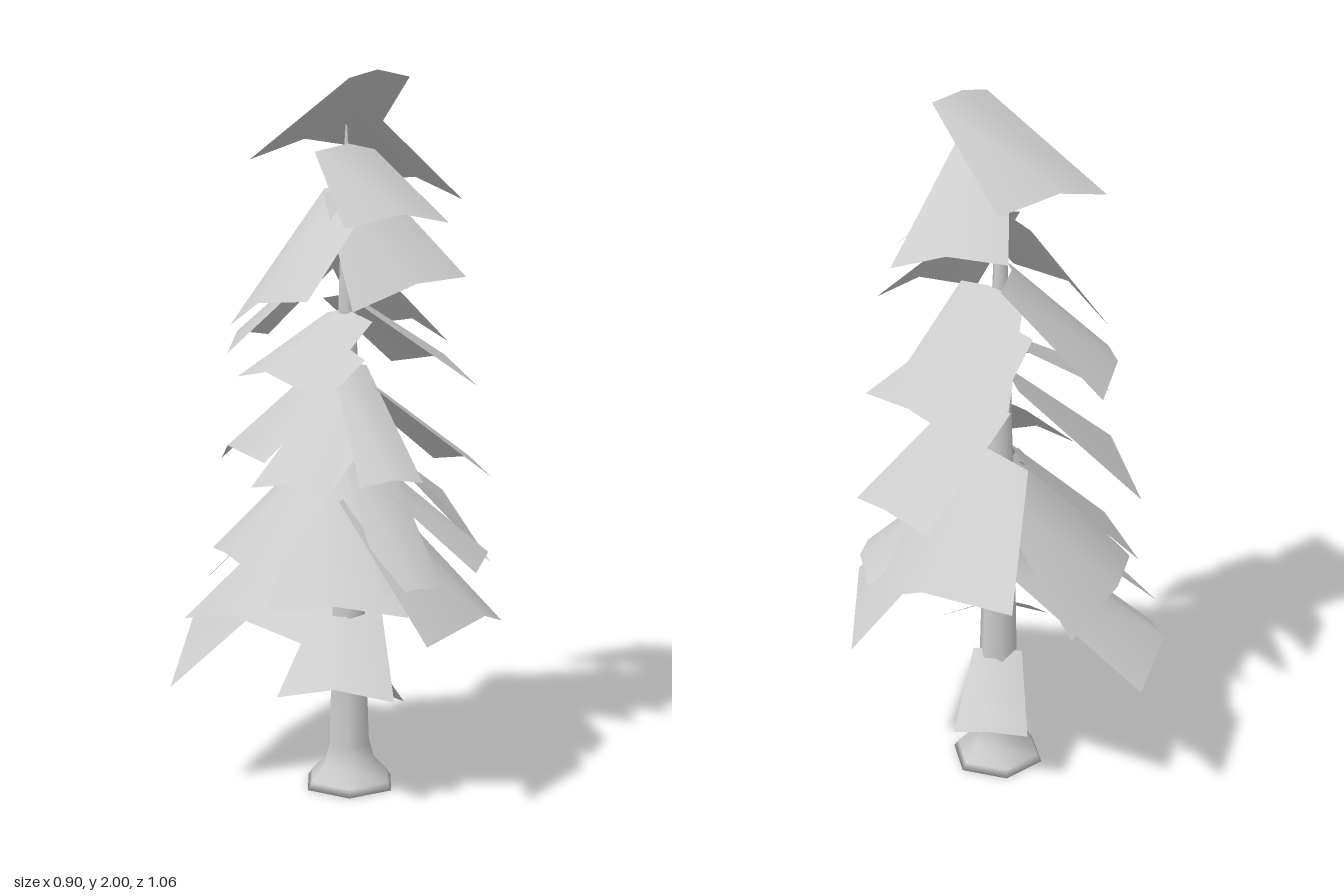
import * as THREE from 'three';

const mat = new THREE.MeshStandardMaterial({ color: 0xcccccc, side: THREE.DoubleSide });
const AXIS_X = 0.04;
const axisZ = (y) => 0.025 - 0.012 * y; // the trunk leans back slightly

// One drooping bough: a trapezoid with a raised centre ridge.
// azimuth is in degrees from +x towards +z; tilt lifts one outer corner;
// the shifts slide the inner and outer edges sideways.
function bough(azimuth, yIn, yOut, rIn, rOut, wIn, wOut, tilt = 0, shiftIn = 0, shiftOut = 0) {
  const { lerp, degToRad } = THREE.MathUtils;
  const a = degToRad(azimuth);
  const out = new THREE.Vector3(Math.cos(a), 0, Math.sin(a));
  const side = new THREE.Vector3(-Math.sin(a), 0, Math.cos(a));
  const slope = out.clone().multiplyScalar(rOut - rIn).setY(yOut - yIn).normalize();
  const normal = side.clone().cross(slope).normalize();

  const geo = new THREE.PlaneGeometry(1, 1, 2, 1);
  const pos = geo.attributes.position;
  for (let i = 0; i < pos.count; i++) {
    const s = pos.getX(i);           // -0.5 .. 0.5 across
    const t = 0.5 - pos.getY(i);     // 0 at trunk, 1 at tip
    const width = lerp(wIn, wOut, t);
    const bow = (0.5 - Math.abs(s)) * 2 - 0.5;
    const p = new THREE.Vector3(AXIS_X, lerp(yIn, yOut, t), axisZ(yIn))
      .addScaledVector(out, lerp(rIn, rOut, t))
      .addScaledVector(side, s * width + lerp(shiftIn, shiftOut, t))
      .addScaledVector(normal, bow * 0.13 * width);
    p.y += tilt * s * t;
    pos.setXYZ(i, p.x, p.y, p.z);
  }
  // wind the faces so they look upwards
  const idx = geo.index.array;
  for (let i = 0; i < idx.length; i += 3) [idx[i], idx[i + 1]] = [idx[i + 1], idx[i]];
  geo.computeVertexNormals();
  return new THREE.Mesh(geo, mat);
}

function trunk() {
  const profile = [
    [0, 0], [0.135, 0], [0.122, 0.02], [0.08, 0.065], [0.064, 0.12], [0.056, 0.35],
    [0.044, 0.8], [0.028, 1.35], [0.014, 1.7], [0, 1.88],
  ].map(([r, y]) => new THREE.Vector2(r, y));
  const geo = new THREE.LatheGeometry(profile, 6, Math.PI / 6);
  const pos = geo.attributes.position;
  for (let i = 0; i < pos.count; i++) {
    pos.setX(i, pos.getX(i) + AXIS_X);
    pos.setZ(i, pos.getZ(i) + axisZ(pos.getY(i)));
  }
  const mesh = new THREE.Mesh(geo, mat);
  mesh.name = 'trunk';
  return mesh;
}

// azimuth, yIn, yOut, rIn, rOut, wIn, wOut, tilt, shiftIn, shiftOut
const tiers = {
  lowestBoughs: [
    [-42, 0.37, 0.2, 0.02, 0.2, 0.14, 0.21],
    [128, 0.53, 0.34, -0.03, 0.27, 0.17, 0.32],
    [-132, 0.72, 0.42, 0.03, 0.45, 0.28, 0.62, 0.14, 0, 0.035],
  ],
  lowerBoughs: [
    [53, 0.86, 0.52, 0.05, 0.4, 0.25, 0.59, 0.08, 0.03, 0.06],
    [172, 0.83, 0.53, 0.03, 0.38, 0.28, 0.6, -0.05, 0, -0.01],
    [90, 1.0, 0.64, 0.03, 0.36, 0.14, 0.18, 0, -0.02, 0],
    [125, 0.95, 0.6, 0.02, 0.37, 0.2, 0.38],
    [38, 0.95, 0.67, 0.04, 0.38, 0.2, 0.27],
    [-4, 1.0, 0.74, 0.03, 0.4, 0.26, 0.58, -0.18, 0, -0.13],
    [-118, 0.96, 0.63, 0.02, 0.335, 0.25, 0.51, 0, 0, 0.025],
    [188, 1.0, 0.68, 0.02, 0.34, 0.25, 0.45],
  ],
  middleBoughs: [
    [0, 1.15, 0.9, 0.03, 0.35, 0.2, 0.3, 0, 0.03, 0.06],
    [-167, 1.24, 0.96, 0, 0.31, 0.25, 0.47, -0.08, 0, 0.04],
    [150, 1.13, 0.91, 0.02, 0.32, 0.14, 0.24],
    [98, 1.2, 0.93, 0.02, 0.32, 0.1, 0.18],
    [2, 1.38, 1.18, 0, 0.28, 0.25, 0.48, 0, 0, 0.02],
    [176, 1.34, 1.18, 0, 0.25, 0.22, 0.38],
  ],
  upperBoughs: [
    [-8, 1.48, 1.28, 0.02, 0.24, 0.22, 0.38, 0, 0.02, -0.03],
    [-134, 1.52, 1.26, 0.02, 0.3, 0.22, 0.36],
    [171, 1.68, 1.38, 0, 0.3, 0.22, 0.34, -0.1, 0, -0.02],
    [88, 1.68, 1.43, 0.02, 0.255, 0.2, 0.36, -0.07, -0.02, -0.05],
    [88, 1.79, 1.61, 0, 0.22, 0.19, 0.33, 0, 0, -0.03],
  ],
  crownBoughs: [
    [-33, 1.88, 1.67, -0.05, 0.32, 0.14, 0.31, -0.04, 0.06, 0.05],
    [-87, 1.99, 1.78, -0.13, 0.2, 0.18, 0.36, 0.02, 0.03, -0.02],
  ],
};

export function createModel() {
  const tree = new THREE.Group();
  tree.name = 'coniferTree';
  tree.add(trunk());
  for (const [name, rows] of Object.entries(tiers)) {
    const tier = new THREE.Group();
    tier.name = name;
    rows.forEach((row, i) => {
      const mesh = bough(...row);
      mesh.name = `bough${i + 1}`;
      tier.add(mesh);
    });
    tree.add(tier);
  }
  return tree;
}
